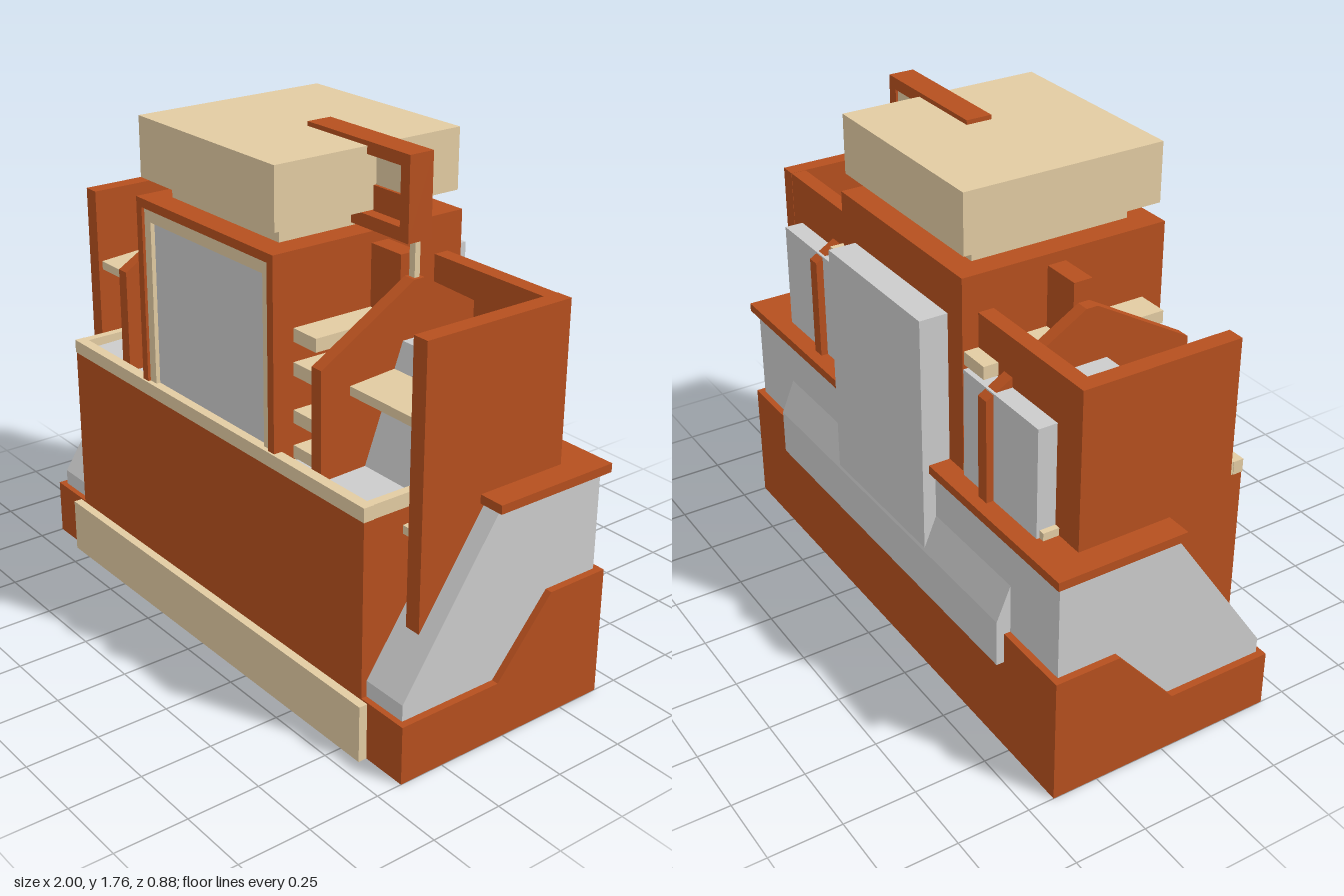
import * as THREE from 'three';

const material = (color) => new THREE.MeshStandardMaterial({ color, flatShading: true });

export function createModel() {
  const model = new THREE.Group();
  const rust = material(0xb54f1e), cream = material(0xe2cba2), grey = material(0xcccccc);

  const add = (name, geometry, mat) => {
    const mesh = new THREE.Mesh(geometry, mat);
    mesh.name = name;
    model.add(mesh);
    return mesh;
  };
  // Box given by its limits on each axis
  const box = (name, mat, x0, x1, y0, y1, z0, z1) => {
    const g = new THREE.BoxGeometry(Math.abs(x1 - x0), y1 - y0, z1 - z0);
    return add(name, g.translate((x0 + x1) / 2, (y0 + y1) / 2, (z0 + z1) / 2), mat);
  };
  // Side profile of [z, y] points, extruded from x0 to x1
  const profile = (name, mat, x0, x1, points) => {
    const shape = new THREE.Shape(points.map(([z, y]) => new THREE.Vector2(-z, y)));
    const g = new THREE.ExtrudeGeometry(shape, { depth: Math.abs(x1 - x0), bevelEnabled: false });
    return add(name, g.rotateY(Math.PI / 2).translate(Math.min(x0, x1), 0, 0), mat);
  };
  // Rectangular frame facing +z, open at the bottom edge when inner and outer meet there
  const frame = (name, mat, outer, inner, y0, top, innerTop, z0, z1) => {
    const shape = new THREE.Shape([
      [-outer, y0], [-inner, y0], [-inner, innerTop], [inner, innerTop],
      [inner, y0], [outer, y0], [outer, top], [-outer, top],
    ].map(([x, y]) => new THREE.Vector2(x, y)));
    const g = new THREE.ExtrudeGeometry(shape, { depth: z1 - z0, bevelEnabled: false });
    return add(name, g.translate(0, 0, z0), mat);
  };

  // Stepped base with raised rear, and the sloped shell standing in it
  profile('base', rust, -1, 1,
    [[0.41, 0], [0.41, 0.2], [0.03, 0.2], [-0.18, 0.445], [-0.41, 0.445], [-0.41, 0]]);
  profile('shell', grey, -0.975, 0.975,
    [[0.39, 0.19], [0.39, 0.255], [0.03, 0.785], [-0.388, 0.785], [-0.388, 0.19]]);
  box('kickBoard', cream, -0.838, 0.838, 0, 0.195, 0.41, 0.44);

  // Counter with a cream rim and sunken floor
  box('counter', rust, -0.81, 0.81, 0.2, 0.795, -0.33, 0.41);
  box('counterFloor', cream, -0.8, 0.8, 0.79, 0.803, -0.33, 0.39);
  box('frontRim', cream, -0.812, 0.812, 0.795, 0.842, 0.375, 0.412);
  box('rearRim', cream, -0.81, 0.81, 0.795, 0.842, -0.335, -0.3);

  // Ledge around the back
  box('rearLedge', rust, -1, 1, 0.785, 0.815, -0.41, -0.32);

  // Central cabinet with recessed screen
  box('cabinet', rust, -0.37, 0.37, 0.79, 1.48, -0.335, 0.375);
  frame('cabinetFrame', rust, 0.37, 0.34, 0.8, 1.48, 1.45, 0.375, 0.405);
  frame('screenFrame', cream, 0.34, 0.305, 0.8, 1.45, 1.405, 0.375, 0.395);
  box('screen', grey, -0.305, 0.305, 0.8, 1.405, 0.37, 0.38);

  // Roof
  box('roofNeck', cream, -0.287, 0.287, 1.48, 1.545, -0.25, 0.32);
  box('roofCap', cream, -0.36, 0.36, 1.543, 1.745, -0.322, 0.39);

  // Handle hooked over the roof
  box('handleTop', rust, 0.07, 0.555, 1.72, 1.76, -0.043, 0.047);
  box('handleSide', rust, 0.515, 0.555, 1.49, 1.76, -0.043, 0.047);
  box('handleBottom', rust, 0.287, 0.555, 1.49, 1.533, -0.043, 0.047);
  box('handleBlock', rust, 0.36, 0.515, 1.54, 1.62, -0.035, 0.02);
  box('handlePad', cream, 0.36, 0.515, 1.62, 1.72, -0.035, 0.01);
  box('handleRod', cream, 0.52, 0.545, 1.36, 1.5, -0.01, 0.01);

  // Back panel and its sloped bumper
  box('backPanel', grey, -0.287, 0.287, 0.336, 1.33, -0.433, -0.33);
  profile('bumper', grey, -0.72, 0.72,
    [[-0.37, 0.336], [-0.37, 0.62], [-0.387, 0.62], [-0.437, 0.5], [-0.437, 0.336]]);

  // Mirrored wings
  for (const s of [1, -1]) {
    box('sideLedge', rust, s * 0.81, s, 0.785, 0.815, -0.41, 0.05);
    box('sideRim', cream, s * 0.78, s * 0.81, 0.795, 0.842, -0.335, 0.41);
    box('sideWall', rust, s * 0.852, s * 0.91, 0.42, 1.355, -0.28, 0.277);
    box('rearWall', rust, s * 0.36, s * 0.91, 0.6, 1.354, -0.279, -0.225);
    box('postBracket', rust, s * 0.36, s * 0.508, 1.18, 1.443, -0.033, 0.033);

    // Gabled divider
    profile('divider', rust, s * 0.512, s * 0.557,
      [[0.37, 0.8], [0.37, 1.17], [0.02, 1.375], [-0.02, 1.375], [-0.37, 1.17], [-0.37, 0.8]]);

    // Sloped console passing through the rear wall
    profile('console', grey, s * 0.39, s * 0.79,
      [[0.37, 0.795], [0.37, 0.81], [0.2, 0.815], [0.06, 1.19], [-0.345, 1.19], [-0.345, 0.81]]);

    // Tilted outer shelves
    profile('outerShelf', cream, s * 0.49, s * 0.853,
      [[0.262, 1.065], [0.262, 1.095], [-0.23, 1.13], [-0.23, 1.1]]);
    profile('lowerShelf', cream, s * 0.8, s * 0.853,
      [[0.262, 0.712], [0.262, 0.74], [-0.23, 0.765], [-0.23, 0.735]]);

    // Stack of small inner shelves
    for (const y of [0.83, 0.948, 1.105, 1.215]) {
      box('innerShelf', cream, s * 0.36, s * 0.48, y - 0.022, y + 0.022, -0.33, 0.33);
    }
  }
  return model;
}
